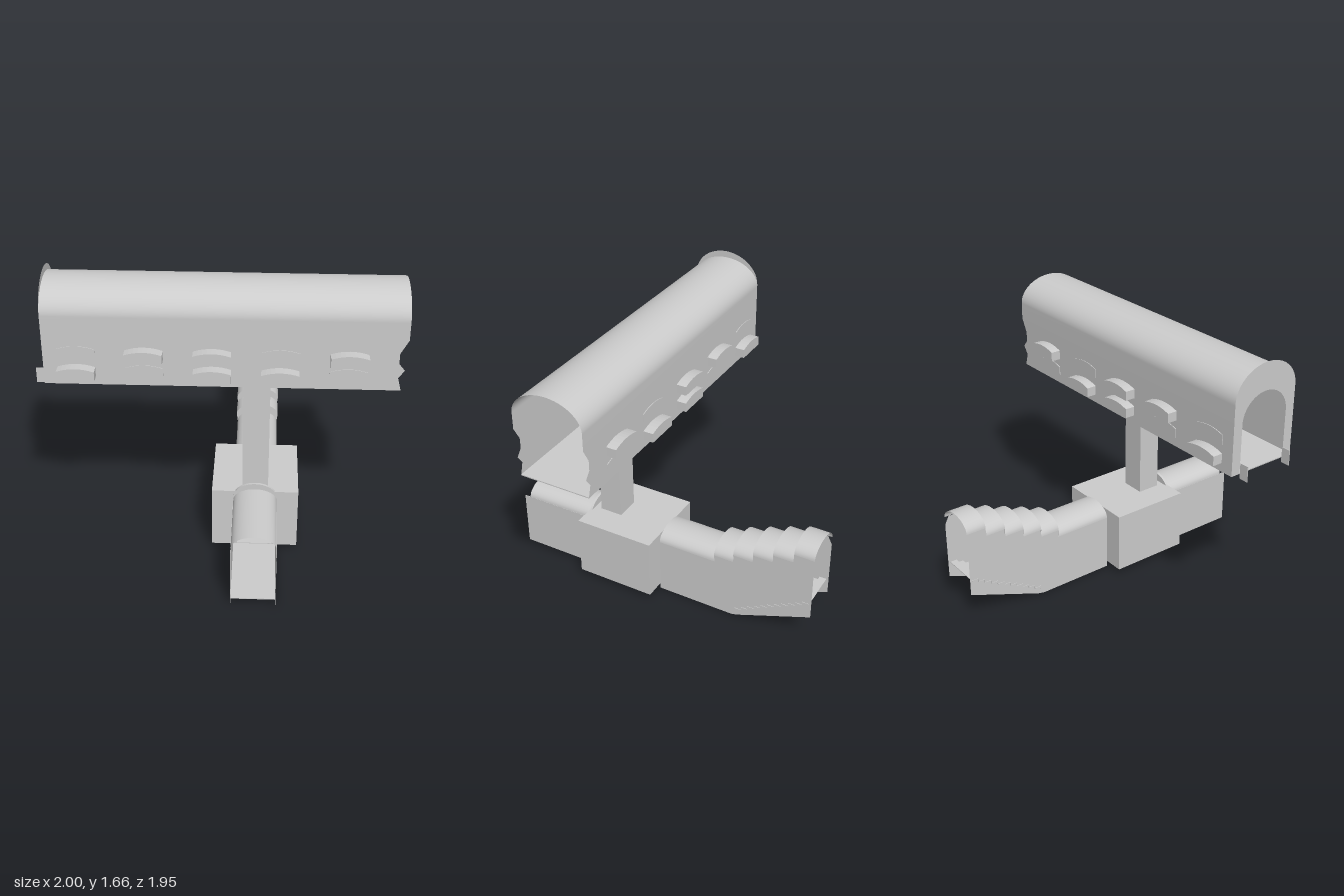
import * as THREE from 'three';

const mat = new THREE.MeshStandardMaterial({ color: 0xcccccc, side: THREE.DoubleSide });

function add(parent, name, geometry, x = 0, y = 0, z = 0) {
  const mesh = new THREE.Mesh(geometry, mat);
  mesh.name = name;
  mesh.position.set(x, y, z);
  parent.add(mesh);
  return mesh;
}

function box(parent, name, x0, x1, y0, y1, z0, z1) {
  return add(parent, name, new THREE.BoxGeometry(x1 - x0, y1 - y0, z1 - z0),
    (x0 + x1) / 2, (y0 + y1) / 2, (z0 + z1) / 2);
}

// Half-elliptical arch from right to left
function arc(half, spring, top, n = 24) {
  return Array.from({ length: n + 1 }, (_, i) => {
    const a = Math.PI * i / n;
    return new THREE.Vector2(half * Math.cos(a), spring + (top - spring) * Math.sin(a));
  });
}

// Arch standing on straight legs
function archway(half, base, spring, top) {
  return [new THREE.Vector2(half, base), ...arc(half, spring, top), new THREE.Vector2(-half, base)];
}

// Open sheet that carries a cross-section along z; the end may depend on height
function sheet(points, z0, z1) {
  const g = new THREE.PlaneGeometry(1, 1, points.length - 1, 1);
  const pos = g.attributes.position, n = points.length;
  points.forEach((p, i) => {
    pos.setXYZ(i, p.x, p.y, z0);
    pos.setXYZ(n + i, p.x, p.y, typeof z1 === 'function' ? z1(p.y) : z1);
  });
  g.computeVertexNormals();
  return g;
}

// Flat band between two arches
function band(outer, inner) {
  return new THREE.Shape([...outer, ...inner.slice().reverse()]);
}

function upperHall() {
  const hall = new THREE.Group();
  hall.name = 'upperHall';
  const mid = 0.242, half = 0.213;

  // Shell and end portal are built along z, then turned to run along x
  const shell = new THREE.Group();
  shell.name = 'hallShell';
  shell.rotation.y = Math.PI / 2;
  shell.position.z = mid;
  hall.add(shell);
  const notches = [[1.07, 0.975], [1.14, 0.955], [1.19, 0.99], [1.23, 0.957], [1.29, 0.957], [1.37, 1]];
  const ragged = y => {
    const hit = notches.find(k => Math.abs(k[0] - y) < 1e-4);
    return hit ? hit[1] : 1;
  };
  const right = notches.map(([y]) => new THREE.Vector2(half, y));
  const left = notches.map(([y]) => new THREE.Vector2(-half, y)).reverse();
  add(shell, 'hallWallsAndRoof', sheet([...right, ...arc(half, 1.47, 1.62, 32), ...left], -0.945, ragged));
  const portal = band(archway(half, 1.07, 1.48, 1.66), archway(0.156, 1.07, 1.35, 1.5));
  add(shell, 'endPortal', new THREE.ShapeGeometry(portal), 0, 0, -0.945);

  // Floor and the small side plates beyond the portal
  box(hall, 'hallFloor', -0.945, 0.975, 1.068, 1.074, mid - half, mid + half);
  for (const z of [0.09, 0.395]) box(hall, 'sillPlate', -1, -0.945, 1.04, 1.13, z - 0.002, z + 0.002);

  // Two rows of windows on both sides, some with deep hoods
  const s = new THREE.Shape();
  s.moveTo(-0.102, 0);
  s.lineTo(0.102, 0);
  s.lineTo(0.102, 0.055);
  s.quadraticCurveTo(0, 0.09, -0.102, 0.055);
  const hooded = { upper: [1, 2, 4], lower: [0, 2, 3] };
  for (const [row, y] of [['upper', 1.225], ['lower', 1.118]]) {
    for (let i = 0; i < 5; i++) {
      const deep = hooded[row].includes(i);
      const depth = deep ? 0.06 : 0.004;
      const g = new THREE.ExtrudeGeometry(s, { depth, bevelEnabled: false, curveSegments: 8 });
      const x = -0.765 + i * 0.365;
      const name = row + (deep ? 'WindowHood' : 'Window');
      add(hall, name, g, x, y, mid + half);
      add(hall, name, g, x, y, mid - half - depth);
    }
  }
  return hall;
}

function lowerPassage() {
  const passage = new THREE.Group();
  passage.name = 'lowerPassage';
  passage.position.x = 0.207;
  const half = 0.123;

  // Block with an arched way through it
  const block = new THREE.Shape([[-0.245, 0.035], [0.245, 0.035], [0.245, 0.408], [-0.245, 0.408]]
    .map(p => new THREE.Vector2(...p)));
  block.holes.push(new THREE.Path(archway(0.1, 0.042, 0.225, 0.32)));
  add(passage, 'baseBlock', new THREE.ExtrudeGeometry(block, { depth: 0.49, bevelEnabled: false }));

  // Raised lip over the front mouth of the block
  const lip = band(arc(half, 0.37, 0.46), arc(0.11, 0.35, 0.41));
  add(passage, 'archLip', new THREE.ExtrudeGeometry(lip, { depth: 0.014, bevelEnabled: false }), 0, 0, 0.478);

  // Front tunnel
  add(passage, 'frontRoof', sheet(arc(half, 0.35, 0.425), 0.49, 0.935));
  box(passage, 'frontFloor', -half, half, 0.033, 0.038, 0.49, 0.97);
  for (const x of [-half, half]) box(passage, 'frontWall', x - 0.001, x + 0.001, 0, 0.35, 0.49, 0.975);

  // Rear tunnel with side walls that rise with the stairs
  add(passage, 'rearRoof', sheet(arc(half, 0.35, 0.425), -0.37, 0));
  box(passage, 'rearFloor', -half, half, 0.033, 0.038, -0.5, 0);
  const start = 0.365, run = 0.122;
  const outline = [[0, 0], [0.48, 0], [0.52, 0.01], [0.975, 0.19], [0.975, 0.54], [0.95, 0.59]];
  for (let i = 4; i >= 0; i--) {
    const y = 0.4 + i * 0.048;
    if (i < 4) outline.push([start + run * (i + 1), y]);
    outline.push([start + run * i, y]);
  }
  outline.push([start, 0.35], [0, 0.35]);
  const wall = new THREE.ShapeGeometry(new THREE.Shape(outline.map(p => new THREE.Vector2(...p))));
  for (const x of [-half, half]) add(passage, 'rearWall', wall, x).rotation.y = Math.PI / 2;

  // Stepped roof arches
  for (let i = 0; i < 5; i++) {
    const y = 0.4 + i * 0.048, w = i < 4 ? 0.13 : half;
    const z0 = -start - run * i, z1 = z0 - run;
    add(passage, 'steppedRoof', sheet(arc(w, y, y + 0.077), z1, z0));
    const riser = band(arc(w, y, y + 0.077), arc(half, y - 0.048, y + 0.027));
    add(passage, 'roofRiser', new THREE.ShapeGeometry(riser), 0, 0, z0);
  }

  // Stairs: thin treads and risers that just show through the walls
  const count = 11, rise = 0.0225, tread = 0.042, w = half + 0.003;
  for (let i = 0; i < count; i++) {
    const y = 0.036 + i * rise, z = -0.5 - i * tread;
    box(passage, 'stairRiser', -w, w, y, y + rise, z - 0.004, z);
    box(passage, 'stairTread', -w, w, y + rise - 0.004, y + rise, z - tread, z);
  }
  return passage;
}

export function createModel() {
  const model = new THREE.Group();
  model.name = 'elevatedWalkway';
  model.add(upperHall(), lowerPassage());
  // Pillar between the block and the hall
  box(model, 'pillar', 0.133, 0.28, 0.4, 1.07, 0.297, 0.437);
  return model;
}
